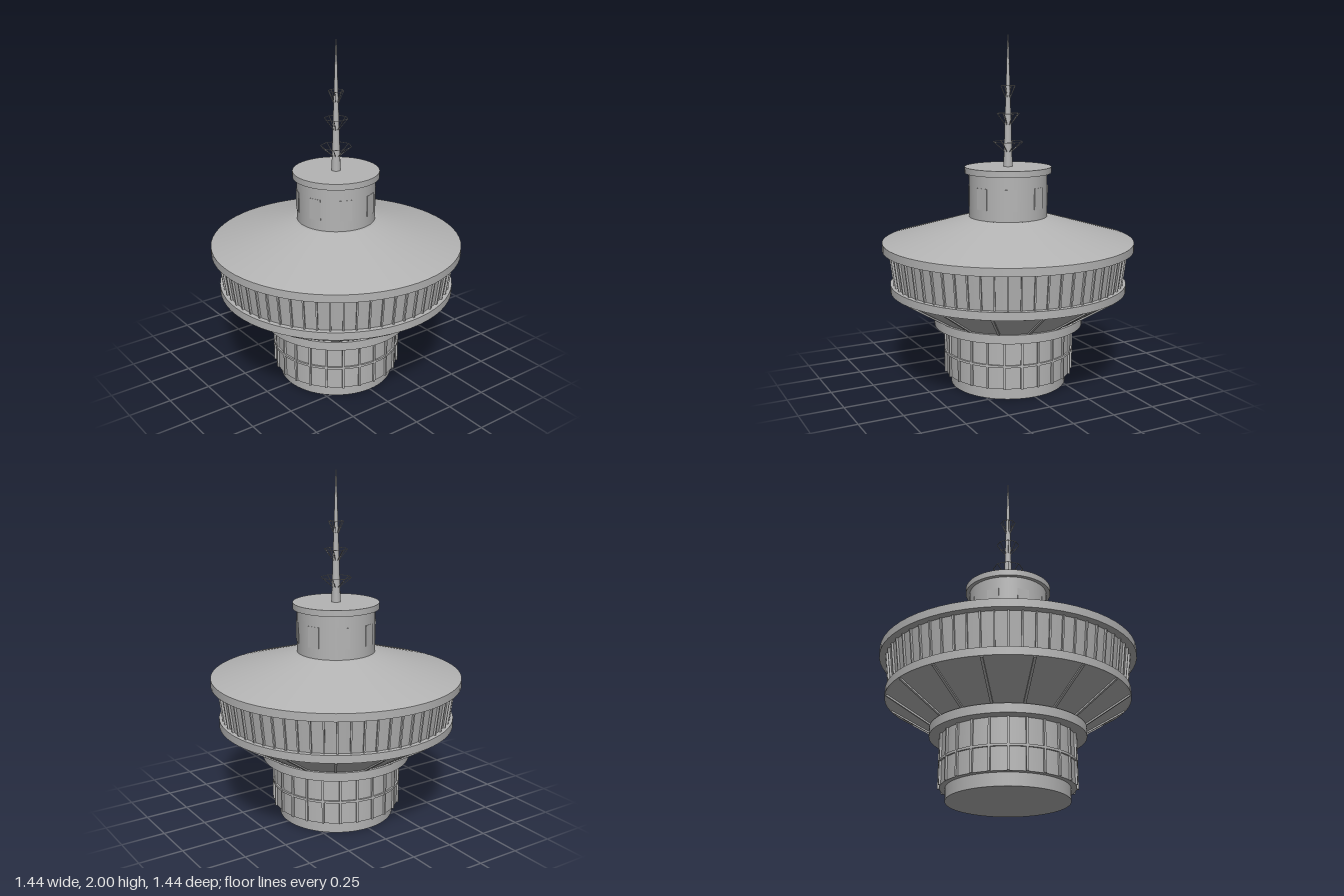
import * as THREE from 'three';

export function createModel() {
  const model = new THREE.Group();
  const grey = new THREE.MeshStandardMaterial({ color: 0xb4b4b4 });
  grey.name = 'concrete grey';

  const add = (name, geometry, parent = model) => {
    const mesh = new THREE.Mesh(geometry, grey);
    mesh.name = name;
    parent.add(mesh);
    return mesh;
  };

  const group = (name) => {
    const g = new THREE.Group();
    g.name = name;
    model.add(g);
    return g;
  };

  // Round tier from y0 to y1 with a bottom and a top radius
  const tier = (name, y0, y1, r0, r1 = r0, sides = 64) =>
    add(name, new THREE.CylinderGeometry(r1, r0, y1 - y0, sides).translate(0, (y0 + y1) / 2, 0));

  // Square bar between two points, its depth facing away from the axis
  const bar = (name, a, b, width, depth, parent) => {
    const mesh = add(name, new THREE.BoxGeometry(width, depth, a.distanceTo(b)), parent);
    mesh.position.copy(a).add(b).multiplyScalar(0.5);
    mesh.up.set(a.x + b.x, 0, a.z + b.z).normalize();
    mesh.lookAt(b);
    return mesh;
  };

  const polar = (r, y, angle) => new THREE.Vector3(r * Math.sin(angle), y, r * Math.cos(angle));

  // Evenly spaced bars following a tier
  const ribs = (name, count, offset, y0, y1, r0, r1, width, depth) => {
    const g = group(name + 's');
    for (let i = 0; i < count; i++) {
      const angle = ((i + offset) / count) * Math.PI * 2;
      bar(name, polar(r0, y0, angle), polar(r1, y1, angle), width, depth, g);
    }
  };

  // Shaft
  tier('base', 0, 0.07, 0.335);
  tier('lowerDrum', 0.07, 0.35, 0.365);
  ribs('lowerMullion', 24, 0, 0.07, 0.35, 0.367, 0.367, 0.012, 0.018);
  tier('lowerRail', 0.195, 0.208, 0.375);
  tier('collar', 0.35, 0.4, 0.43);

  // Flared underside
  tier('flare', 0.4, 0.556, 0.415, 0.668);
  ribs('flareRib', 16, 0.5, 0.4, 0.556, 0.417, 0.67, 0.014, 0.014);
  tier('deckRing', 0.556, 0.6, 0.68);

  // Window band and roof
  tier('windowBand', 0.6, 0.795, 0.652, 0.677);
  ribs('windowMullion', 60, 0.5, 0.6, 0.795, 0.655, 0.68, 0.009, 0.016);
  tier('roofRim', 0.795, 0.84, 0.722);
  tier('roof', 0.84, 0.98, 0.72, 0.242);

  // Turret with nearly flush panels
  tier('turret', 0.97, 1.23, 0.224);
  const panels = group('turretPanels');
  for (let i = 0; i < 8; i++) {
    const angle = ((i + 0.5) / 8) * Math.PI * 2;
    const panel = add('turretPanel', new THREE.BoxGeometry(0.07, 0.12, 0.009), panels);
    panel.position.copy(polar(0.2205, 1.1, angle));
    panel.rotation.y = angle;
  }
  tier('turretCap', 1.23, 1.265, 0.247);

  // Mast and its wire aerials
  tier('mast', 1.265, 2, 0.026, 0.003, 12);
  const aerials = group('aerials');
  for (const [top, bottom, radius] of [[1.405, 1.345, 0.088], [1.565, 1.5, 0.066], [1.72, 1.655, 0.043]]) {
    for (let i = 0; i < 8; i++) {
      const angle = (i / 8) * Math.PI * 2;
      const corner = polar(radius, top, angle);
      bar('aerialRing', corner, polar(radius, top, angle + Math.PI / 4), 0.003, 0.003, aerials);
      bar('aerialSpoke', polar(0.015, bottom, angle), corner, 0.003, 0.003, aerials);
    }
  }

  return model;
}
